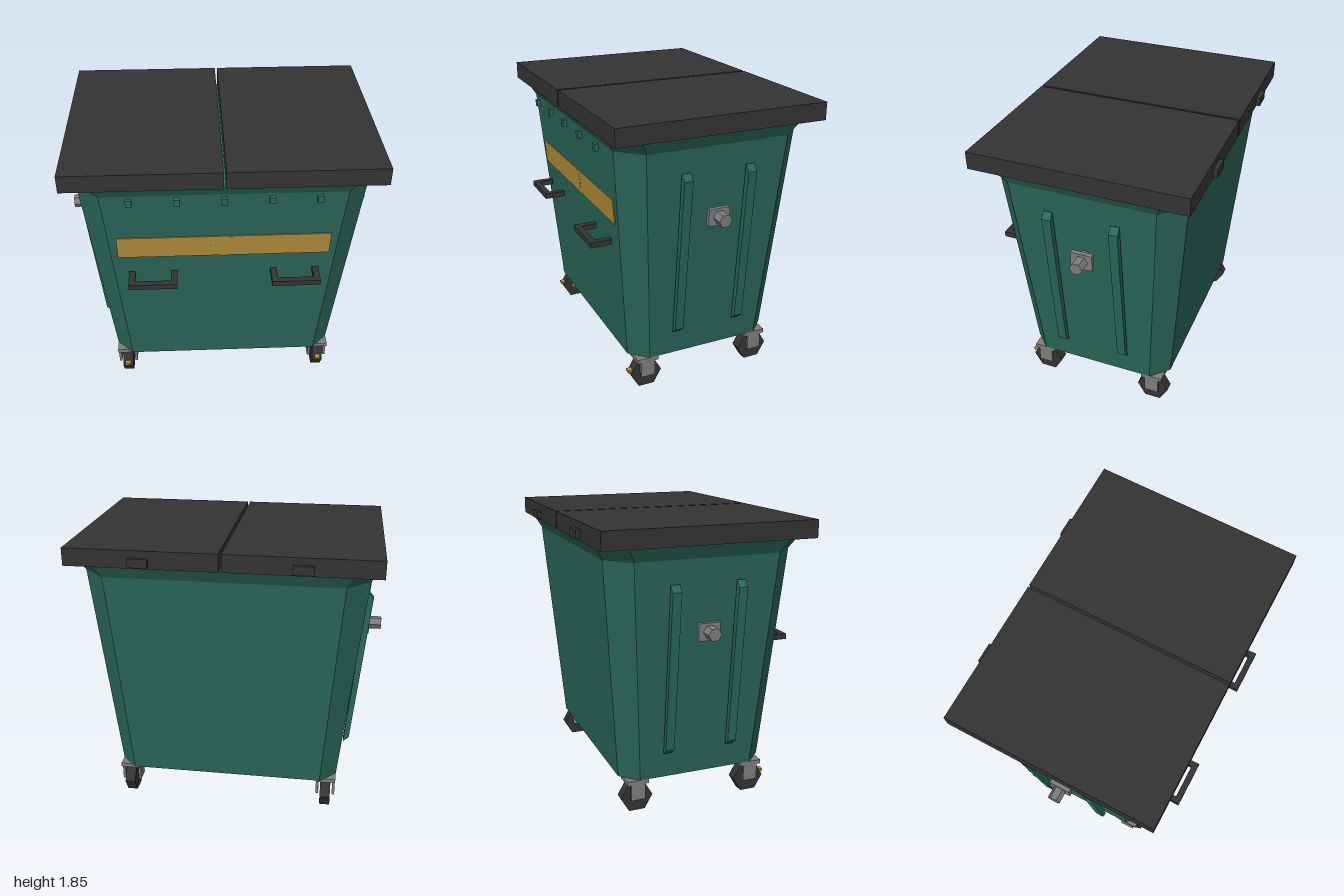
import * as THREE from 'three';

const material = (color) => new THREE.MeshStandardMaterial({ color, flatShading: true });
const GREEN = material(0x2a6658);
const BLACK = material(0x333333);
const METAL = material(0x7c7c7c);
const YELLOW = material(0xb08c3a);

function add(parent, name, geometry, mat, x = 0, y = 0, z = 0) {
  const mesh = new THREE.Mesh(geometry, mat);
  mesh.name = name;
  mesh.position.set(x, y, z);
  parent.add(mesh);
  return mesh;
}

// Box given by its minimum and maximum corners
function addBox(parent, name, mat, [x0, y0, z0], [x1, y1, z1]) {
  return add(parent, name, new THREE.BoxGeometry(x1 - x0, y1 - y0, z1 - z0), mat,
    (x0 + x1) / 2, (y0 + y1) / 2, (z0 + z1) / 2);
}

// Hexagonal prism lying along x, with corners pointing to +z and -z
function hexAlongX(radius, length) {
  return new THREE.CylinderGeometry(radius, radius, length, 6).rotateZ(Math.PI / 2);
}

// Closed loft through rectangles with cut corners
function chamferedLoft(sections) {
  const rings = sections.map(({ y, x, z, cx, cz }) =>
    [[x, -cz], [x, cz], [cx, z], [-cx, z], [-x, cz], [-x, -cz], [-cx, -z], [cx, -z]]
      .map(([px, pz]) => [px, y, pz]));
  const out = [];
  const n = 8;
  for (let k = 0; k + 1 < rings.length; k++) {
    for (let i = 0; i < n; i++) {
      const j = (i + 1) % n;
      const a = rings[k][i], b = rings[k][j], c = rings[k + 1][j], d = rings[k + 1][i];
      out.push(...a, ...d, ...c, ...a, ...c, ...b);
    }
  }
  const bottom = rings[0], top = rings[rings.length - 1];
  for (let i = 0; i < n; i++) {
    const j = (i + 1) % n;
    out.push(0, bottom[0][1], 0, ...bottom[i], ...bottom[j]);
    out.push(0, top[0][1], 0, ...top[j], ...top[i]);
  }
  const geometry = new THREE.BufferGeometry();
  geometry.setAttribute('position', new THREE.Float32BufferAttribute(out, 3));
  geometry.computeVertexNormals();
  return geometry;
}

// U-shaped grip, open towards the container
function makeHandle() {
  const s = new THREE.Shape();
  [[-0.155, 0], [-0.155, 0.14], [0.155, 0.14], [0.155, 0],
    [0.115, 0], [0.115, 0.1], [-0.115, 0.1], [-0.115, 0]]
    .forEach(([x, y], i) => (i ? s.lineTo(x, y) : s.moveTo(x, y)));
  return new THREE.ExtrudeGeometry(s, { depth: 0.036, bevelEnabled: false }).rotateX(Math.PI / 2);
}

// Slanted side rib with bevelled ends, drawn in x/y and centred in z
function makeRib(side) {
  const s = new THREE.Shape();
  [[0.791, 0.395], [0.83, 0.43], [0.93, 1.463], [0.893, 1.503]]
    .forEach(([x, y], i) => (i ? s.lineTo(side * x, y) : s.moveTo(side * x, y)));
  return new THREE.ExtrudeGeometry(s, { depth: 0.058, bevelEnabled: false }).translate(0, 0, -0.029);
}

function makeCaster(braked) {
  const g = new THREE.Group();
  g.name = braked ? 'brakedCaster' : 'caster';
  addBox(g, 'mountingPlate', METAL, [-0.067, 0.192, -0.073], [0.067, 0.22, 0.073]);
  add(g, 'wheel', hexAlongX(0.107, 0.07), BLACK, 0, 0.093, 0);
  for (const s of [-1, 1]) {
    add(g, 'forkArm', new THREE.BoxGeometry(0.018, 0.115, 0.096), METAL, s * 0.056, 0.1415, 0);
  }
  if (braked) addBox(g, 'brakePedal', YELLOW, [-0.019, 0.107, 0.06], [0.019, 0.125, 0.12]);
  return g;
}

export function createModel() {
  const model = new THREE.Group();
  model.name = 'wasteContainer';

  // Tapered body with flared rim
  add(model, 'body', chamferedLoft([
    { y: 0.22, x: 0.755, z: 0.5, cx: 0.645, cz: 0.388 },
    { y: 1.65, x: 0.897, z: 0.613, cx: 0.752, cz: 0.47 },
    { y: 1.736, x: 0.945, z: 0.66, cx: 0.8, cz: 0.515 },
  ]), GREEN);

  // Two lids and their hinges
  for (const s of [-1, 1]) {
    add(model, 'lid', new THREE.BoxGeometry(0.962, 0.113, 1.373), BLACK, s * 0.489, 1.7935, 0);
    add(model, 'hinge', new THREE.BoxGeometry(0.126, 0.055, 0.06), BLACK, s * 0.497, 1.778, -0.685);
  }

  // Small catches under the front rim
  for (let i = -2; i <= 2; i++) {
    add(model, 'catch', new THREE.BoxGeometry(0.038, 0.045, 0.028), GREEN, i * 0.286, 1.63, 0.652);
  }

  // Painted stripe with a plain disc, lying on the sloping front
  const stripe = new THREE.Group();
  stripe.name = 'stripePanel';
  stripe.position.set(0, 1.24, 0.582);
  stripe.rotation.x = Math.atan(0.113 / 1.43);
  add(stripe, 'stripe', new THREE.BoxGeometry(1.346, 0.16, 0.01), YELLOW);
  add(stripe, 'disc', new THREE.CylinderGeometry(0.085, 0.085, 0.012, 16).rotateX(Math.PI / 2), YELLOW);
  model.add(stripe);

  // Front handles
  for (const s of [-1, 1]) add(model, 'handle', makeHandle(), BLACK, s * 0.456, 1.039, 0.575);

  // Side ribs and lifting pegs
  for (const s of [-1, 1]) {
    for (const z of [-0.215, 0.215]) add(model, 'sideRib', makeRib(s), GREEN, 0, 0, z);
    add(model, 'pegPlate', new THREE.BoxGeometry(0.03, 0.11, 0.142), METAL, s * 0.905, 1.205, 0);
    add(model, 'liftingPeg', hexAlongX(0.043, 0.15), METAL, s * 0.925, 1.205, 0);
  }

  // Casters, brakes on the front pair
  for (const x of [-0.687, 0.687]) {
    for (const z of [-0.4, 0.4]) {
      const caster = makeCaster(z > 0);
      caster.position.set(x, 0, z);
      model.add(caster);
    }
  }
  return model;
}
